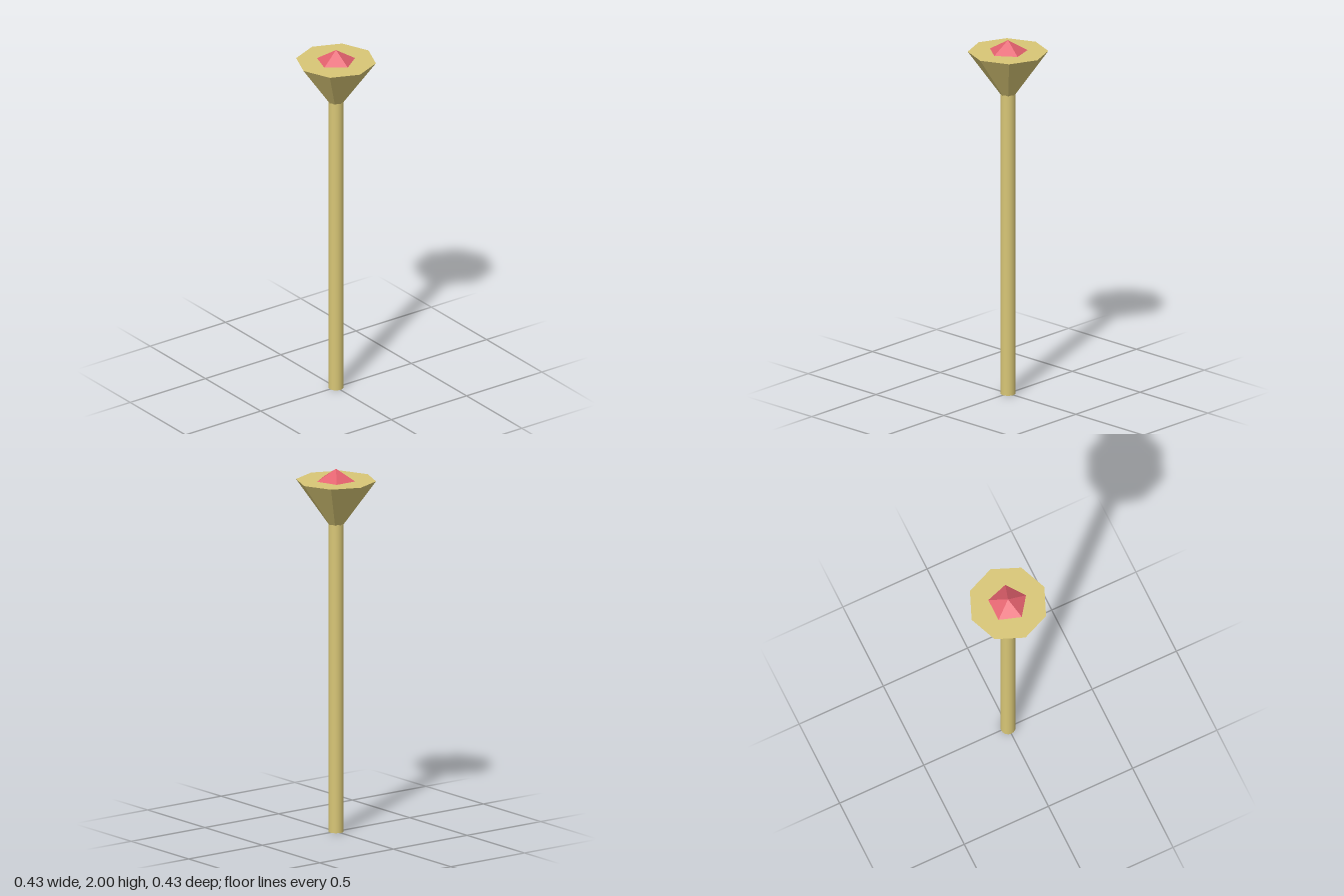
import * as THREE from 'three';

export function createModel() {
  const gold = new THREE.MeshStandardMaterial({ color: 0xd8c676 });
  gold.name = 'pale gold';
  const red = new THREE.MeshStandardMaterial({ color: 0xe2606d });
  red.name = 'gem red';

  const model = new THREE.Group();
  model.name = 'sceptre';

  const rimY = 1.937, neckY = 1.695;

  // Adds a round or faceted part standing between two heights
  function addPart(name, material, topR, bottomR, y0, y1, sides, faceted, thetaStart = 0) {
    let geometry = new THREE.CylinderGeometry(topR, bottomR, y1 - y0, sides, 1, false, thetaStart);
    if (faceted) {
      geometry = geometry.toNonIndexed();
      geometry.computeVertexNormals();
    }
    const mesh = new THREE.Mesh(geometry, material);
    mesh.name = name;
    mesh.position.y = (y0 + y1) / 2;
    model.add(mesh);
  }

  // Smooth shaft
  addPart('shaft', gold, 0.041, 0.041, 0, neckY + 0.01, 16, false);
  // Eight-sided flared head
  addPart('head', gold, 0.216, 0.041, neckY, rimY, 8, true);
  // Five-sided gem with one corner towards +x
  addPart('gem', red, 0, 0.107, rimY, 2, 5, true, Math.PI / 2);

  return model;
}
